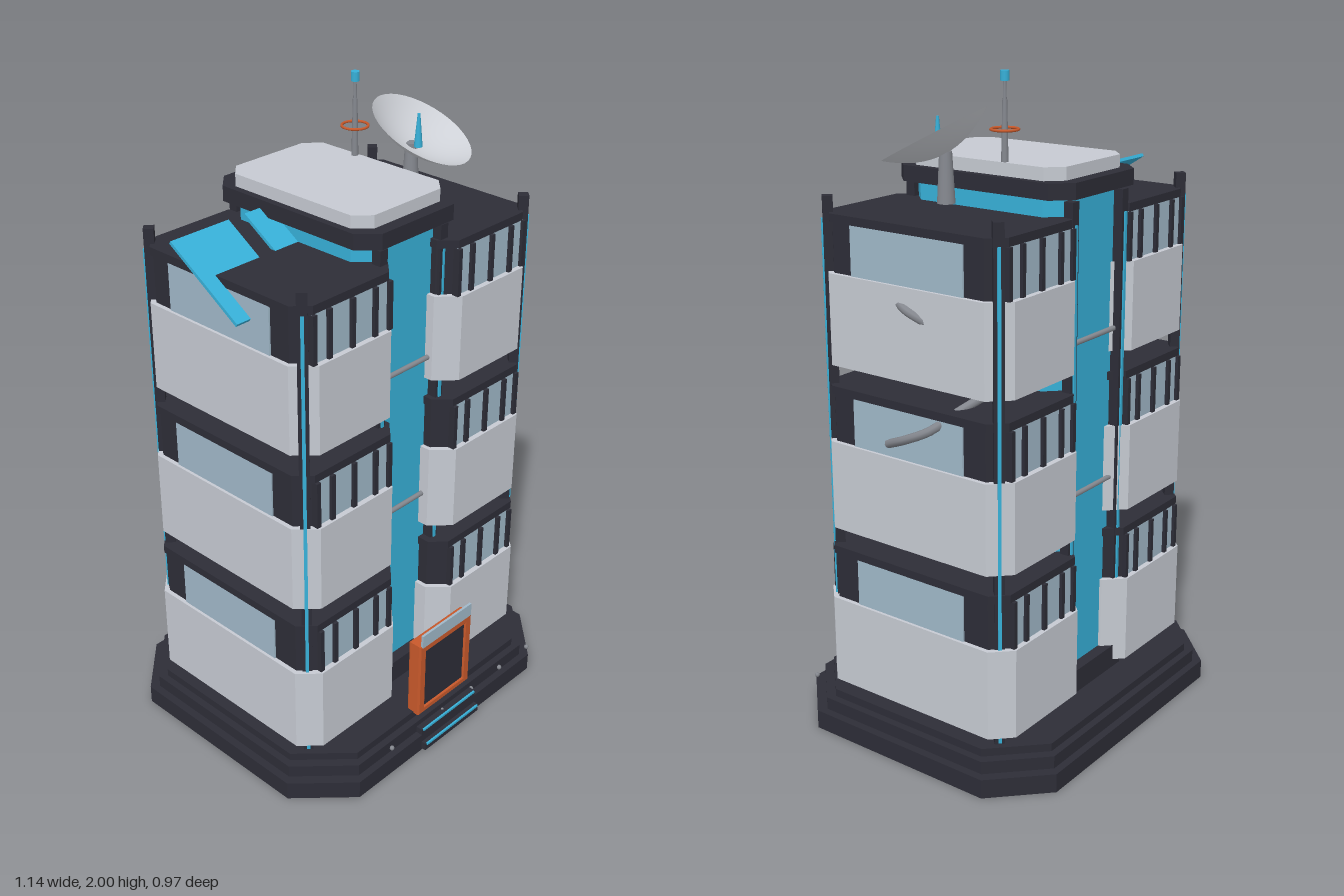
import * as THREE from 'three';

const mat = (name, color) => {
  const m = new THREE.MeshStandardMaterial({ color });
  m.name = name;
  return m;
};

export function createModel() {
  const dark = mat('dark charcoal', 0x2d2d37);
  const white = mat('pale panel', 0xc6cad2);
  const cyan = mat('cyan', 0x37b0d8);
  const glass = mat('window glass', 0xa0b8c8);
  const orange = mat('orange', 0xc8592b);
  const grey = mat('metal grey', 0x85888f);
  const dishMat = mat('dish white', 0xcdd0d6);
  dishMat.side = THREE.DoubleSide;

  const model = new THREE.Group();
  model.name = 'tower';

  const add = (name, geo, material, x = 0, y = 0, z = 0, parent = model) => {
    const m = new THREE.Mesh(geo, material);
    m.name = name;
    m.position.set(x, y, z);
    parent.add(m);
    return m;
  };
  const box = (name, w, h, d, material, x, y, z, parent) =>
    add(name, new THREE.BoxGeometry(w, h, d), material, x, y, z, parent);

  // Upright prism with a chamfered rectangle as plan (half sizes hx, hz)
  const prism = (name, hx, hz, c, y0, y1, material, x, z, parent) => {
    const s = new THREE.Shape([
      [hx, hz - c], [hx - c, hz], [c - hx, hz], [-hx, hz - c],
      [-hx, c - hz], [c - hx, -hz], [hx - c, -hz], [hx, c - hz],
    ].map(([a, b]) => new THREE.Vector2(a, b)));
    const g = new THREE.ExtrudeGeometry(s, { depth: y1 - y0, bevelEnabled: false });
    g.rotateX(-Math.PI / 2);
    return add(name, g, material, x, y0, z, parent);
  };
  const tube = (name, pts, r, material) => add(name, new THREE.TubeGeometry(
    new THREE.CatmullRomCurve3(pts.map(p => new THREE.Vector3(...p))), 24, r, 8), material);

  const ZC = -0.013; // building centre line
  const ZK = -0.031; // core centre line

  // Stepped plinth
  prism('plinthLower', 0.571, 0.475, 0.155, 0, 0.06, dark, 0, ZC);
  prism('plinthMiddle', 0.546, 0.452, 0.15, 0.06, 0.1, dark, 0, ZC);
  prism('plinthUpper', 0.523, 0.43, 0.145, 0.1, 0.125, dark, 0, ZC);

  // Entrance steps with lit edges
  [[0.02, 0.478], [0.068, 0.462]].forEach(([y, z]) => {
    box('entranceStep', 0.26, 0.026, 0.06, dark, 0, y, z - 0.03);
    box('stepLight', 0.25, 0.007, 0.006, cyan, 0, y + 0.011, z + 0.001);
  });
  for (const x of [-0.25, -0.01, 0.135, 0.282, 0.43])
    add('plinthLamp', new THREE.SphereGeometry(0.008, 8, 6), grey, x, 0.075, 0.443);

  // Door portal
  const portal = new THREE.Shape([[-0.118, 0], [0.118, 0], [0.118, 0.262], [-0.118, 0.262]]
    .map(p => new THREE.Vector2(...p)));
  const hole = new THREE.Path([[-0.097, 0.014], [-0.097, 0.24], [0.097, 0.24], [0.097, 0.014]]
    .map(p => new THREE.Vector2(...p)));
  portal.holes.push(hole);
  add('doorFrame', new THREE.ExtrudeGeometry(portal, {
    depth: 0.034, bevelThickness: 0.007, bevelSize: 0.004, bevelSegments: 2,
  }), orange, 0, 0.124, 0.398);
  box('door', 0.2, 0.232, 0.03, dark, 0, 0.25, 0.418);
  box('doorCanopyGlass', 0.23, 0.045, 0.008, glass, 0, 0.408, 0.438);

  // Central core, foot and cap
  prism('coreFoot', 0.2, 0.305, 0.05, 0.12, 0.2, dark, 0, ZK);
  prism('core', 0.172, 0.268, 0.05, 0.2, 1.665, cyan, 0, ZK);
  prism('capSlab', 0.202, 0.312, 0.055, 1.665, 1.712, dark, 0, ZK);
  prism('capRoof', 0.18, 0.271, 0.045, 1.712, 1.75, white, 0, ZK);
  for (const side of [1, -1])
    for (const y of [0.77, 1.24]) {
      const bar = add('coreBar', new THREE.CylinderGeometry(0.008, 0.008, 0.23, 10), grey,
        0, y, ZK + side * 0.278);
      bar.rotation.z = Math.PI / 2;
    }

  // Two wings of three floors, each slightly smaller than the one below
  const floors = [
    { y: 0.15, top: 0.43, hx: 0.212, hz: 0.352 },
    { y: 0.66, top: 0.935, hx: 0.206, hz: 0.343 },
    { y: 1.168, top: 1.44, hx: 0.198, hz: 0.335 },
  ];
  for (const s of [1, -1]) {
    const wing = new THREE.Group();
    wing.name = s > 0 ? 'leftWing' : 'rightWing';
    wing.position.set(s * 0.292, 0, ZC);
    model.add(wing);
    for (const f of floors) {
      const bx = f.hx - 0.014, bz = f.hz - 0.022, lid = f.top + 0.145;
      prism('parapet', f.hx, f.hz, 0.058, f.y, f.top, white, 0, 0, wing);
      prism('windowFrame', bx, bz, 0.045, f.top, lid, dark, 0, 0, wing);
      prism('floorRoof', bx + 0.006, bz + 0.006, 0.045, lid, lid + 0.025, dark, 0, 0, wing);
      const gy = (f.top + lid) / 2, gh = lid - f.top;
      box('sideWindow', 0.008, gh, 0.4, glass, s * (bx + 0.001), gy, 0, wing);
      for (const e of [1, -1]) {
        box('longWindow', 0.3, gh, 0.008, glass, 0, gy, e * (bz + 0.001), wing);
        for (const x of [-0.146, -0.088, 0, 0.088, 0.146])
          box('mullion', 0.015, gh, 0.022, dark, x, gy, e * (bz + 0.004), wing);
      }
    }
  }

  // Corner and core posts with light strips
  for (const sx of [1, -1])
    for (const sz of [1, -1]) {
      const post = (x, z, turn) => {
        const g = new THREE.Group();
        g.name = 'post';
        g.position.set(x, 0, z);
        g.rotation.y = turn;
        model.add(g);
        box('postShaft', 0.03, 1.535, 0.03, dark, 0, 0.8875, 0, g);
        box('postLight', 0.01, 1.46, 0.008, cyan, 0, 0.86, 0.016, g);
      };
      const facing = Math.atan2(sx, sz);
      post(sx * 0.459, ZC + sz * 0.301, facing);
      post(sx * 0.126, ZK + sz * 0.284, sz > 0 ? 0 : Math.PI);
    }

  // Tilted solar panels set into the roof
  for (const x of [-0.425, -0.155]) {
    const p = box('solarPanel', 0.21, 0.01, 0.3, cyan, x, 1.602, -0.011);
    p.rotation.x = Math.atan2(0.165, 0.26);
  }

  // Dish on its stand
  add('dishStand', new THREE.CylinderGeometry(0.018, 0.026, 0.145, 16), grey, 0.29, 1.7125, -0.005);
  const dish = new THREE.Group();
  dish.name = 'dish';
  dish.position.set(0.29, 1.775, 0.0);
  dish.rotation.set(0.46, 0, -0.17);
  model.add(dish);
  const bowl = [];
  for (let i = 0; i <= 8; i++)
    bowl.push(new THREE.Vector2(0.163 * i / 8, 0.062 * (i / 8) ** 2));
  add('dishBowl', new THREE.LatheGeometry(bowl, 40), dishMat, 0, 0, 0, dish);
  add('dishFeed', new THREE.CylinderGeometry(0.004, 0.013, 0.1, 10), cyan, 0.29, 1.828, 0.022);

  // Antenna mast
  add('mastLower', new THREE.CylinderGeometry(0.007, 0.011, 0.2, 10), grey, 0.168, 1.82, -0.117);
  add('mastUpper', new THREE.CylinderGeometry(0.004, 0.006, 0.08, 10), grey, 0.168, 1.945, -0.117);
  add('mastBeacon', new THREE.CylinderGeometry(0.013, 0.013, 0.028, 12), cyan, 0.168, 1.986, -0.117);
  const ring = add('mastRing', new THREE.TorusGeometry(0.039, 0.004, 8, 28), orange, 0.168, 1.84, -0.117);
  ring.rotation.x = Math.PI / 2;

  // Pipes
  for (const s of [1, -1])
    tube('corePipe', [[s * 0.2, 1.125, 0.09], [s * 0.205, 1.125, -0.03], [s * 0.2, 1.125, -0.14]], 0.012, grey);
  tube('outerPipe', [[0.17, 1.14, -0.2], [0.22, 1.145, -0.215], [0.34, 1.13, -0.19], [0.45, 1.09, -0.15],
    [0.5, 1.05, -0.11], [0.512, 1.01, -0.03], [0.485, 0.97, 0.06]], 0.013, grey);
  tube('upperPipe', [[0.475, 1.39, 0.02], [0.492, 1.375, -0.03], [0.475, 1.345, -0.09]], 0.013, grey);

  return model;
}
